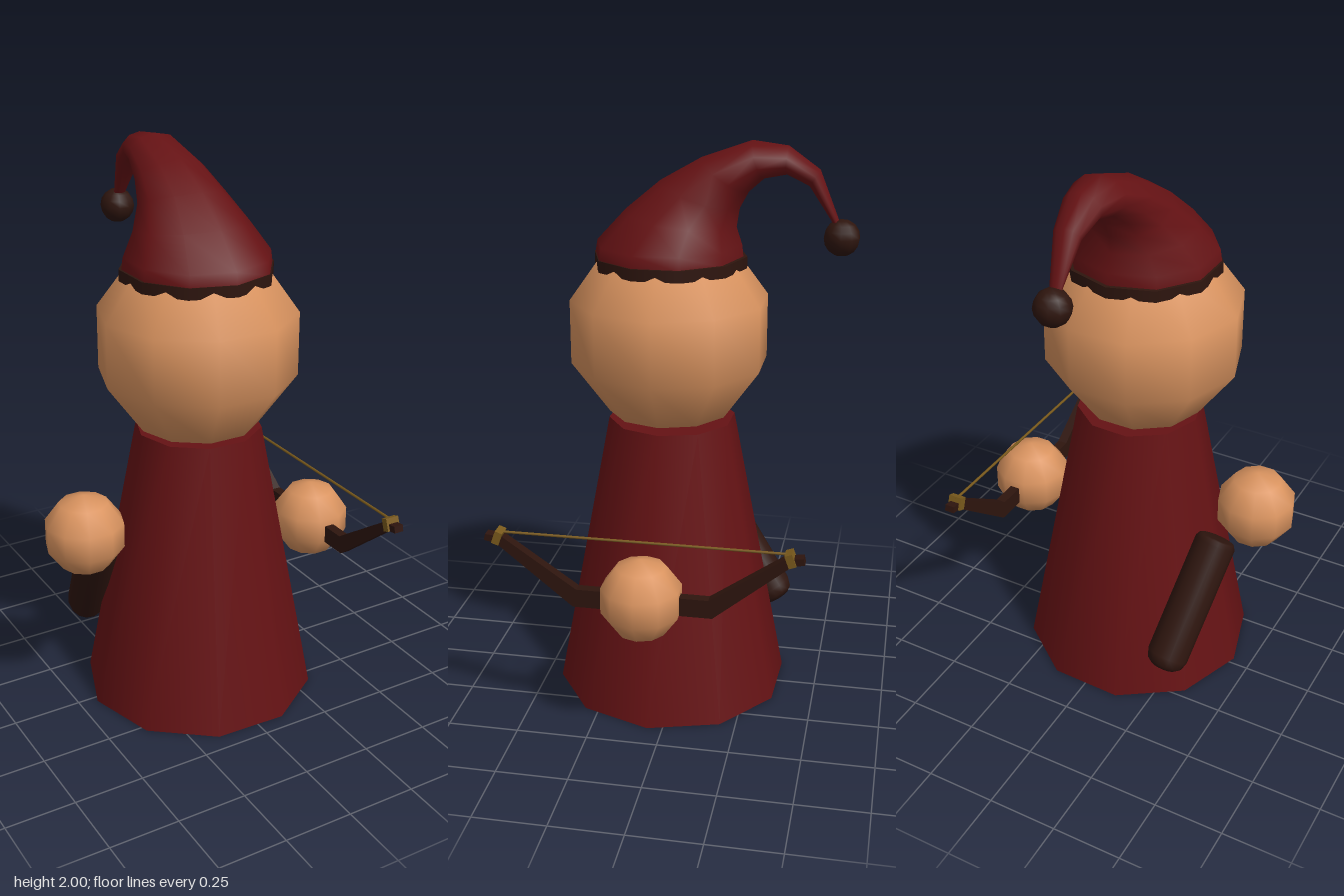
import * as THREE from 'three';

const mat = (color) => new THREE.MeshStandardMaterial({ color, roughness: 0.9 });

export function createModel() {
  const model = new THREE.Group();
  const red = mat(0x651214), skin = mat(0xd9935f), brown = mat(0x2e150e), gold = mat(0x7a5a1c);

  const add = (name, geometry, material, x = 0, y = 0, z = 0, parent = model) => {
    const mesh = new THREE.Mesh(geometry, material);
    mesh.name = name;
    mesh.position.set(x, y, z);
    parent.add(mesh);
    return mesh;
  };

  // Robe: ten-sided tapered cylinder
  add('robe', new THREE.CylinderGeometry(0.223, 0.42, 1.03, 10, 1, false, THREE.MathUtils.degToRad(16)),
    red, -0.015, 0.515, 0.04);

  // Head and floating hands share one low-poly ball
  const ball = (r) => new THREE.SphereGeometry(r, 10, 5);
  add('head', ball(0.363), skin, -0.025, 1.345, 0.05);
  add('rightHand', ball(0.145), skin, -0.475, 0.725, 0.055);
  add('leftHand', ball(0.145), skin, 0.467, 0.545, 0.055);

  // Hat: dark band, then a bent cone lofted through elliptical sections
  add('hatBand', new THREE.CylinderGeometry(0.265, 0.265, 0.04, 10), brown, -0.025, 1.59, 0.047);
  add('hat', hatGeometry(), red, -0.025);
  add('pompom', new THREE.SphereGeometry(0.062, 10, 8), brown, -0.025, 1.687, -0.533);

  // Quiver: rounded lathe laid along a slanted axis
  const top = new THREE.Vector3(-0.375, 0.615, -0.045), bottom = new THREE.Vector3(-0.305, 0.19, -0.325);
  const axis = top.clone().sub(bottom), len = axis.length();
  const profile = [[0, 0], [0.045, 0.004], [0.066, 0.02], [0.075, 0.05],
    [0.075, len - 0.02], [0.066, len - 0.004], [0.055, len], [0, len]];
  const quiver = add('quiver', new THREE.LatheGeometry(profile.map(([r, y]) => new THREE.Vector2(r, y)), 14),
    brown, bottom.x, bottom.y, bottom.z);
  quiver.quaternion.setFromUnitVectors(new THREE.Vector3(0, 1, 0), axis.normalize());

  // Bow: mirrored flat outline, extruded across its thickness
  const bow = new THREE.Group();
  bow.name = 'bow';
  bow.position.set(0.465, 0, 0.05);
  model.add(bow);
  const upper = [[0.225, 0.565], [0.475, 0.738], [0.535, 0.745]];
  const lower = [[0.54, 0.722], [0.5, 0.715], [0.238, 0.5]];
  const half = [...upper, ...lower];
  const outline = [...half, ...half.map(([z, y]) => [-z, y]).reverse()];
  const wood = new THREE.ExtrudeGeometry(new THREE.Shape(outline.map(([z, y]) => new THREE.Vector2(z, y))),
    { depth: 0.036, bevelEnabled: false });
  wood.translate(0, 0, -0.018);
  wood.rotateY(Math.PI / 2);
  add('bowLimbs', wood, brown, 0, 0, 0, bow);
  for (const s of [1, -1]) {
    const band = add('bowTipBand', new THREE.BoxGeometry(0.052, 0.046, 0.026), gold, 0, 0.735, s * 0.493, bow);
    band.rotation.x = -s * 0.35;
  }
  const string = new THREE.CylinderGeometry(0.005, 0.005, 1.0, 6);
  string.rotateX(Math.PI / 2);
  add('bowString', string, gold, 0, 0.75, 0, bow);

  return model;
}

function hatGeometry() {
  // Each section: front z, front y, back z, back y, half width
  const sections = [
    [0.31, 1.605, -0.205, 1.605, 0.245],
    [0.302, 1.65, -0.2, 1.65, 0.24],
    [0.2, 1.76, -0.18, 1.71, 0.19],
    [0.08, 1.86, -0.19, 1.775, 0.145],
    [-0.06, 1.94, -0.22, 1.83, 0.118],
    [-0.23, 2.0, -0.27, 1.875, 0.092],
    [-0.35, 1.985, -0.345, 1.89, 0.066],
    [-0.455, 1.91, -0.42, 1.855, 0.045],
    [-0.53, 1.725, -0.508, 1.725, 0.018],
  ];
  const sides = 10, positions = [], index = [];
  sections.forEach(([fz, fy, bz, by, w], i) => {
    for (let j = 0; j < sides; j++) {
      const a = (j / sides) * Math.PI * 2, t = (1 - Math.cos(a)) / 2;
      positions.push(Math.sin(a) * w / 0.951, fy + (by - fy) * t, fz + (bz - fz) * t);
      if (i === sections.length - 1) continue;
      const p = i * sides + j, q = i * sides + (j + 1) % sides;
      index.push(p, q, p + sides, q, q + sides, p + sides);
    }
  });
  const geometry = new THREE.BufferGeometry();
  geometry.setAttribute('position', new THREE.Float32BufferAttribute(positions, 3));
  geometry.setIndex(index);
  geometry.computeVertexNormals();
  return geometry;
}
